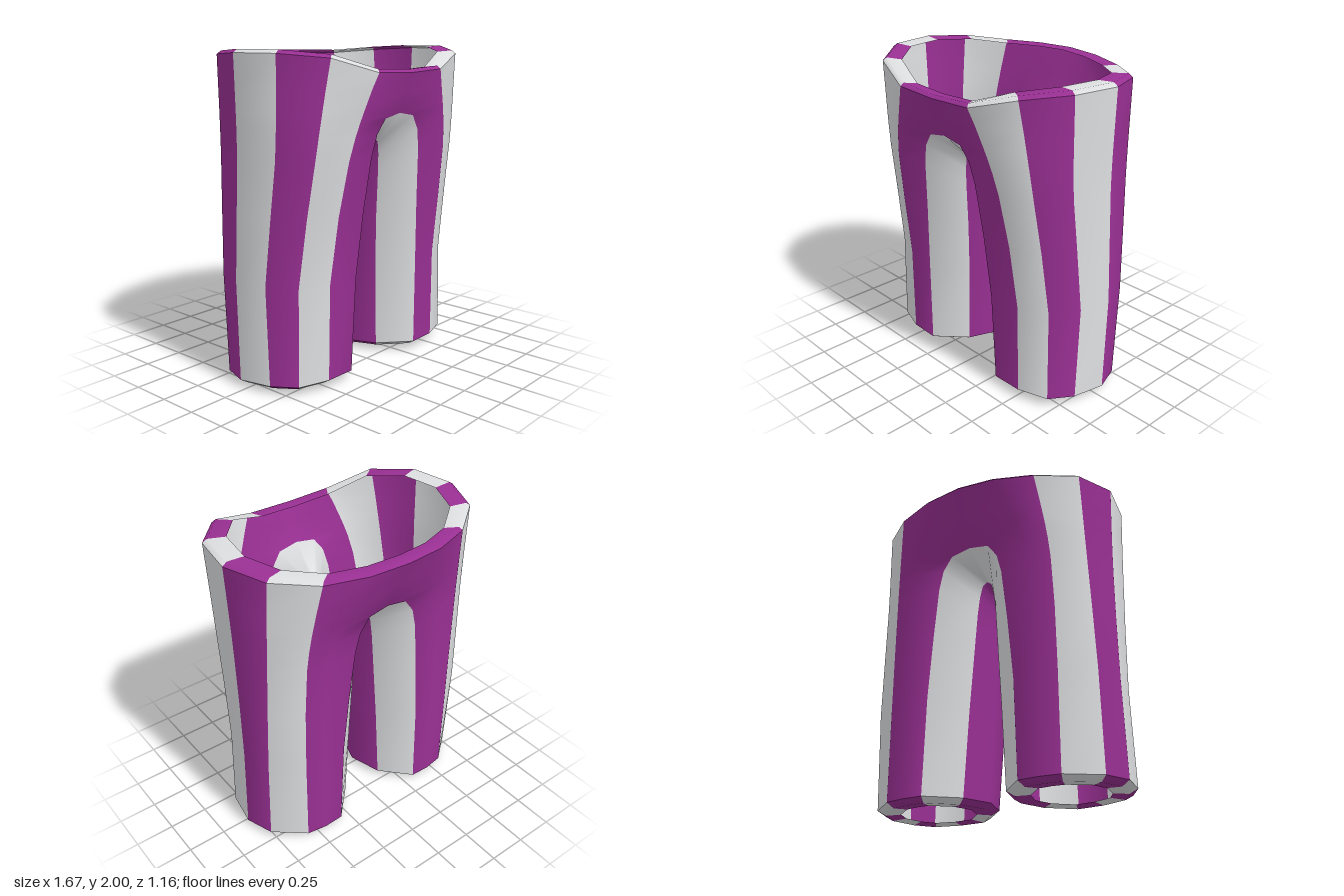
import * as THREE from 'three';

const cloth = (name, color) => {
  const material = new THREE.MeshStandardMaterial({ color, side: THREE.DoubleSide });
  material.name = name;
  return material;
};
const purple = cloth('purple stripe', 0x9a3094);
const white = cloth('white stripe', 0xdedfe1);

const V = (x, y, z) => new THREE.Vector3(x, y, z);
const lerp = THREE.MathUtils.lerp;

const CROTCH = 6; // row where the inner seams of the two legs meet
const LAST = 8; // waist row
const LEVELS = [0.06, 0.65, 1.05, 1.38, 1.5, 1.58, 1.64, 1.77];

// One colour per column around a leg, from the front round the outside to the inside
const STRIPES = 'PWPWPWPPWPPW';

// Outer seam: [x, z] at hem, knee and thigh, then [x, y, z] at the waist
function outerSeam([hem, knee, thigh, waist]) {
  const keys = [V(hem[0], 0.06, hem[1]), V(knee[0], 0.65, knee[1]), V(thigh[0], 1.38, thigh[1]), V(...waist)];
  const curve = new THREE.CatmullRomCurve3(keys, false, 'catmullrom');
  const points = LEVELS.map((y) => {
    const k = y < 0.65 ? 0 : y < 1.38 ? 1 : 2;
    return curve.getPoint((k + (y - keys[k].y) / (keys[k + 1].y - keys[k].y)) / 3);
  });
  return [...points, keys[3].clone()];
}

// Inner seam: climbs the leg, arches over to x = 0 and may run on up to the waist
function archSeam(x, zHem, zTop, height, spread, waist) {
  const rise = [0.04, 0.4, 0.65, 0.85, 0.93, 0.985, 1];
  const points = rise.map((r, i) => V(x * spread[i], height * r, lerp(zHem, zTop, i ? r * r : 0)));
  if (waist) {
    const top = V(...waist);
    points.push(points[CROTCH].clone().lerp(top, 0.5), top);
  }
  return points;
}

const WIDE = [1, 0.94, 0.83, 0.72, 0.62, 0.42, 0];
const NARROW = [1, 0.78, 0.6, 0.46, 0.36, 0.22, 0];

function makeSeams() {
  const seams = [
    archSeam(0.32, 0.39, 0.49, 1.62, WIDE, [0, 1.88, 0.575]),
    ...[
      [[0.52, 0.385], [0.515, 0.39], [0.465, 0.49], [0.3, 1.89, 0.568]],
      [[0.71, 0.32], [0.7, 0.315], [0.66, 0.41], [0.6, 1.975, 0.475]],
      [[0.8, 0.17], [0.795, 0.14], [0.78, 0.22], [0.79, 2.0, 0.25]],
      [[0.835, -0.045], [0.83, -0.07], [0.82, -0.045], [0.835, 2.0, -0.04]],
      [[0.77, -0.22], [0.77, -0.25], [0.745, -0.27], [0.73, 1.985, -0.3]],
      [[0.58, -0.375], [0.58, -0.38], [0.565, -0.4], [0.5, 1.965, -0.475]],
      [[0.45, -0.395], [0.45, -0.395], [0.42, -0.41], [0.25, 1.97, -0.56]],
    ].map(outerSeam),
    archSeam(0.32, -0.39, -0.42, 1.6, WIDE, [0, 1.975, -0.585]),
    archSeam(0.145, -0.21, -0.2, 1.46, NARROW),
    archSeam(0.08, 0, 0.04, 1.4, NARROW),
    archSeam(0.145, 0.21, 0.3, 1.45, NARROW),
  ];
  // The hem tilts slightly and the waist edge is bevelled
  for (const s of seams) {
    s[0].y = 0.045 + 0.04 * s[0].z;
    if (s[LAST]) s[LAST].y -= 0.02;
  }
  return seams;
}

// Mesh from quads { corners, stripe }, mirrored in x, with shared vertices
function buildMesh(name, quads) {
  const ids = new Map();
  const positions = [];
  const faces = { P: [], W: [] };
  const id = (p) => {
    const key = [p.x, p.y, p.z].map((n) => Math.round(n * 1e5) + 0).join();
    if (!ids.has(key)) {
      ids.set(key, ids.size);
      positions.push(p.x, p.y, p.z);
    }
    return ids.get(key);
  };
  const addQuad = (corners, stripe) => {
    const [a, b, c, d] = corners.map(id);
    faces[stripe].push(a, b, c, a, c, d);
  };
  for (const { corners, stripe } of quads) {
    addQuad(corners, stripe);
    addQuad(corners.map((p) => V(-p.x, p.y, p.z)).reverse(), stripe);
  }
  const geometry = new THREE.BufferGeometry();
  geometry.setAttribute('position', new THREE.Float32BufferAttribute(positions, 3));
  geometry.setIndex([...faces.P, ...faces.W]);
  geometry.addGroup(0, faces.P.length, 0);
  geometry.addGroup(faces.P.length, faces.W.length, 1);
  geometry.computeVertexNormals();
  const mesh = new THREE.Mesh(geometry, [purple, white]);
  mesh.name = name;
  return mesh;
}

// Quads between neighbouring seams
function columns(seams) {
  const quads = [];
  seams.forEach((a, j) => {
    const b = seams[(j + 1) % seams.length];
    const rows = j < 8 ? LAST : CROTCH;
    for (let i = 0; i < rows; i++) {
      quads.push({ corners: [a[i], b[i], b[i + 1], a[i + 1]], stripe: STRIPES[j] });
    }
  });
  return quads;
}

// Quads across an edge, from one ring of points to the next
function band(from, to, closed) {
  const quads = [];
  const n = from.length;
  for (let j = 0; j < (closed ? n : n - 1); j++) {
    const k = (j + 1) % n;
    quads.push({ corners: [from[j], from[k], to[k], to[j]], stripe: STRIPES[j] });
  }
  return quads;
}

export function createModel() {
  const group = new THREE.Group();
  group.name = 'striped trousers';
  const seams = makeSeams();

  // Leg hems: a bevel and a ring folded in towards the middle of the leg
  const hemOut = seams.map((s) => s[0]);
  const hemRing = (scale, y) => hemOut.map((p) => {
    const z = p.z * scale;
    return V(lerp(0.455, p.x, scale), y + 0.04 * z, z);
  });
  const hemMid = hemRing(0.87, 0.015);
  const hemIn = hemRing(0.62, 0.022);

  // Waist rim: a small bevel and a top edge folded inwards
  const rimOut = seams.slice(0, 9).map((s) => s[LAST]);
  const rimRing = (x, z, y) => rimOut.map((p) => V(p.x * x, p.y + y, p.z * z));
  const rimMid = rimRing(0.965, 0.97, 0.02);
  const rimIn = rimRing(0.83, 0.85, 0.012);

  group.add(
    buildMesh('trouser cloth', columns(seams)),
    buildMesh('leg hems', [...band(hemMid, hemOut, true), ...band(hemIn, hemMid, true)]),
    buildMesh('waist rim', [...band(rimOut, rimMid, false), ...band(rimMid, rimIn, false)]),
  );
  return group;
}
